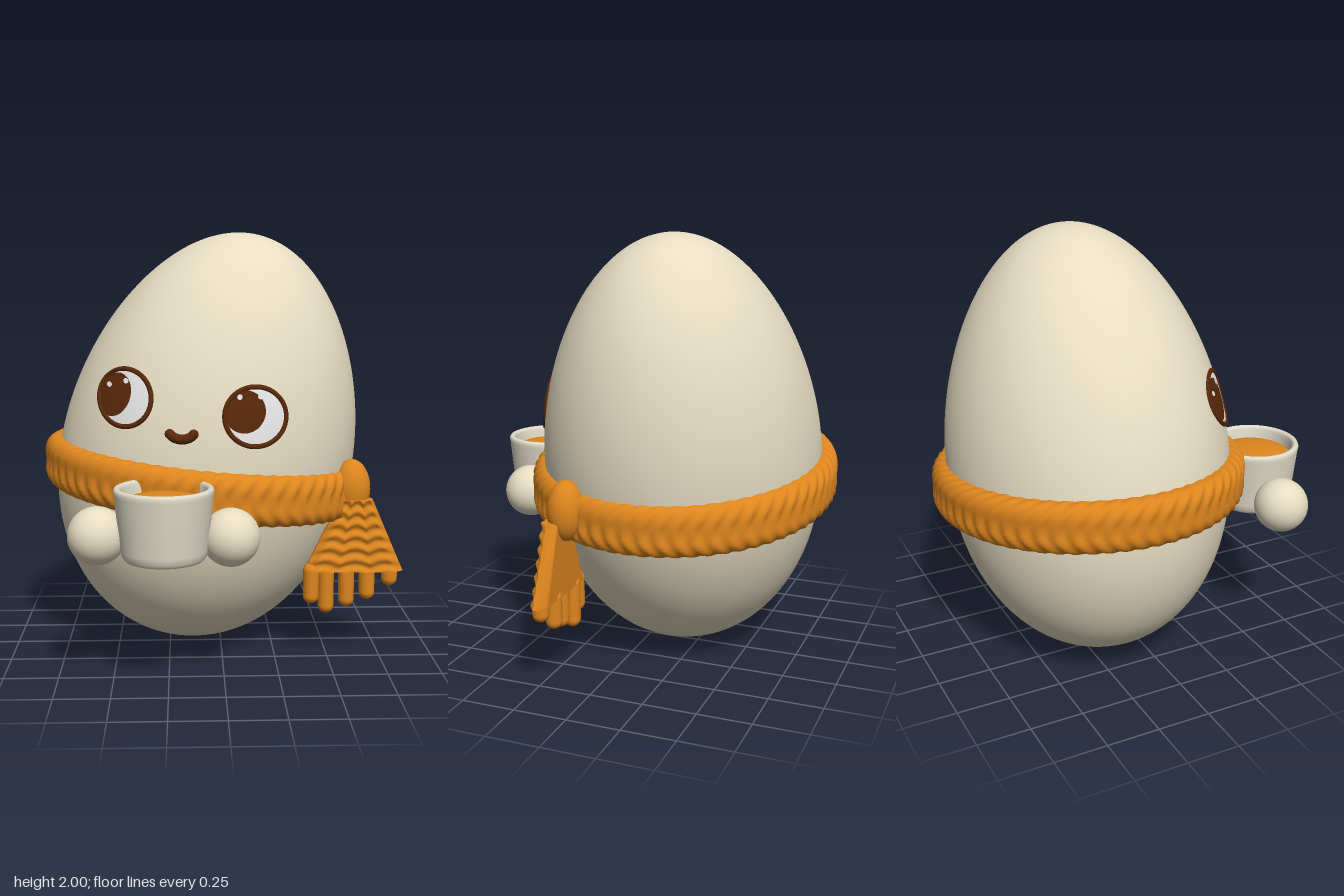
import * as THREE from 'three';

const mat = (name, color, extra = {}) => new THREE.MeshStandardMaterial({ name, color, ...extra });

// Egg rule: tilted body of revolution, narrower at the top, fitted to a box
const A = 1.014, B = 0.72, K = 0.1, TILT = 13.4 * Math.PI / 180;
const FIT = new THREE.Box3(new THREE.Vector3(-0.8, 0, -0.81), new THREE.Vector3(0.67, 2, 0.513));
const eggRadius = t => B * Math.sqrt(Math.max(0, 1 - t * t)) * (1 - K * t);

function makeEgg() {
  const profile = [];
  for (let i = 0; i <= 72; i++) {
    const t = -Math.cos(Math.PI * i / 72);
    profile.push(new THREE.Vector2(i % 72 ? eggRadius(t) : 0, A * t));
  }
  const geo = new THREE.LatheGeometry(profile, 96).rotateZ(-TILT);
  geo.computeBoundingBox();
  const raw = geo.boundingBox.clone();
  const scale = FIT.getSize(new THREE.Vector3()).divide(raw.getSize(new THREE.Vector3()));
  const shift = FIT.min.clone().sub(raw.min.clone().multiply(scale));
  geo.scale(scale.x, scale.y, scale.z).translate(shift.x, shift.y, shift.z);
  // depth of the front surface at a given x, y
  const frontZ = (x, y) => {
    const px = (x - shift.x) / scale.x, py = (y - shift.y) / scale.y;
    const lx = px * Math.cos(TILT) - py * Math.sin(TILT);
    const ly = px * Math.sin(TILT) + py * Math.cos(TILT);
    const r = eggRadius(ly / A);
    return Math.sqrt(Math.max(0, r * r - lx * lx)) * scale.z + shift.z;
  };
  return { geo, frontZ };
}

// Knitted ring: rounded band swept around an ellipse, with two rows of slanted stitches
function makeScarfRing() {
  const U = 576, V = 40, pos = [], index = [];
  const soft = (s, e) => Math.sign(s) * Math.abs(s) ** e;
  for (let i = 0; i < U; i++) {
    const u = i / U * 2 * Math.PI;
    const n = new THREE.Vector3(Math.cos(u) / 0.70, 0, Math.sin(u) / 0.65).normalize();
    const x = -0.078 + 0.70 * Math.cos(u), z = -0.152 + 0.65 * Math.sin(u);
    for (let j = 0; j < V; j++) {
      const w = (j / V * 2 - 1) * Math.PI;
      const outer = Math.max(0, Math.cos(w / 2));
      const stitch = 0.005 * Math.sin(60 * u + 6 * Math.abs(w)) * outer
        - 0.007 * Math.exp(-((w / 0.25) ** 2));
      const d = 0.081 * soft(Math.cos(w), 0.75) + stitch * Math.cos(w);
      const h = 0.119 * soft(Math.sin(w), 0.75) + stitch * 0.6 * Math.sin(w);
      const px = x + n.x * d;
      pos.push(px, 0.825 - 0.1 * px + h, z + n.z * d);
      const a = i * V + j, b = i * V + (j + 1) % V;
      const c = ((i + 1) % U) * V + j, e = ((i + 1) % U) * V + (j + 1) % V;
      index.push(a, b, c, b, e, c);
    }
  }
  const geo = new THREE.BufferGeometry();
  geo.setAttribute('position', new THREE.Float32BufferAttribute(pos, 3));
  geo.setIndex(index);
  geo.computeVertexNormals();
  return geo;
}

// Flared hanging end, thinner at its side edges, with a knitted front
function makeScarfTail() {
  const geo = new THREE.BoxGeometry(1, 1, 1, 48, 60, 1), p = geo.attributes.position;
  for (let i = 0; i < p.count; i++) {
    const s = p.getX(i) + 0.5, t = 0.5 - p.getY(i);
    const left = THREE.MathUtils.lerp(0.56, 0.39, t), right = THREE.MathUtils.lerp(0.71, 0.86, t);
    const edge = Math.min(1, 0.3 + 7 * Math.min(s, 1 - s));
    const knit = 0.006 * Math.sin(t * 12 * Math.PI + 2.2 * Math.abs(Math.sin(3 * Math.PI * s)));
    const z = p.getZ(i) > 0 ? 0.207 + (0.04 + knit) * edge : 0.207 - 0.038 * edge;
    p.setXYZ(i, left + (right - left) * s, 0.757 - 0.347 * t, z);
  }
  geo.computeVertexNormals();
  return geo;
}

export function createModel() {
  const cream = mat('eggshell cream', 0xe6ddc2);
  const china = mat('cup cream', 0xe2ddc9, { side: THREE.DoubleSide });
  const orange = mat('knit orange', 0xde861e);
  const brown = mat('dark brown', 0x58280a);
  const white = mat('eye white', 0xf4f4f4);
  const model = new THREE.Group();
  model.name = 'eggWithScarfAndCup';
  const add = (name, geo, material, parent = model) => {
    const mesh = new THREE.Mesh(geo, material);
    mesh.name = name;
    parent.add(mesh);
    return mesh;
  };
  const group = name => {
    const g = new THREE.Group();
    g.name = name;
    model.add(g);
    return g;
  };

  const { geo: eggGeo, frontZ } = makeEgg();
  add('eggBody', eggGeo, cream);

  // Face: thin patches and tubes that follow the shell
  const patch = (x, y, rx, ry, lean, lift) => {
    const geo = new THREE.RingGeometry(0, 1, 48, 10), p = geo.attributes.position;
    geo.scale(rx, ry, 1).rotateZ(lean).translate(x, y, 0);
    for (let i = 0; i < p.count; i++) p.setZ(i, frontZ(p.getX(i), p.getY(i)) + lift);
    geo.computeVertexNormals();
    return geo;
  };
  const eyes = [
    { name: 'rightEye', ball: [-0.442, 1.258, 0.12, 0.126, -0.4], pupil: [-0.49, 1.27, 0.072, 0.1, -0.4],
      glints: [[-0.515, 1.312], [-0.437, 1.333]] },
    { name: 'leftEye', ball: [0.14, 1.186, 0.138, 0.13, -0.2], pupil: [0.092, 1.21, 0.094, 0.094, 0],
      glints: [[0.07, 1.275], [0.163, 1.275]] },
  ];
  for (const { name, ball, pupil, glints } of eyes) {
    const eye = group(name), [x, y, rx, ry, lean] = ball;
    add('eyeWhite', patch(...ball, 0.004), white, eye);
    add('pupil', patch(...pupil, 0.007), brown, eye);
    for (const [gx, gy] of glints) add('glint', patch(gx, gy, 0.012, 0.012, 0, 0.01), white, eye);
    const rim = [];
    for (let i = 0; i < 40; i++) {
      const a = i / 40 * 2 * Math.PI;
      const v = new THREE.Vector2(rx * Math.cos(a), ry * Math.sin(a)).rotateAround(new THREE.Vector2(), lean);
      rim.push(new THREE.Vector3(x + v.x, y + v.y, frontZ(x + v.x, y + v.y)));
    }
    add('eyeRim', new THREE.TubeGeometry(new THREE.CatmullRomCurve3(rim, true), 96, 0.012, 8, true), brown, eye);
  }

  const mouth = group('mouth');
  const smile = [[-0.24, 1.113], [-0.222, 1.098], [-0.187, 1.09], [-0.152, 1.098], [-0.134, 1.113]]
    .map(([x, y]) => new THREE.Vector3(x, y, frontZ(x, y)));
  add('smile', new THREE.TubeGeometry(new THREE.CatmullRomCurve3(smile), 32, 0.022, 12), brown, mouth);
  for (const end of [smile[0], smile[4]])
    add('smileEnd', new THREE.SphereGeometry(0.022, 16, 12), brown, mouth).position.copy(end);

  // Scarf
  const scarf = group('scarf');
  add('scarfRing', makeScarfRing(), orange, scarf);
  const knot = add('scarfKnot', new THREE.SphereGeometry(1, 32, 24), orange, scarf);
  knot.scale.set(0.09, 0.14, 0.086);
  knot.position.set(0.615, 0.8, 0.166);
  add('scarfTail', makeScarfTail(), orange, scarf);
  [[0.424, 0.25], [0.497, 0.2], [0.592, 0.235], [0.692, 0.265], [0.797, 0.335]].forEach(([x, bottom], i) => {
    const r = 0.038, top = 0.45;
    const strand = add('fringe', new THREE.CapsuleGeometry(r, top - bottom - 2 * r, 8, 16), orange, scarf);
    strand.position.set(x, (top + bottom) / 2, i % 2 ? 0.198 : 0.21);
  });

  // Hands
  for (const [name, x, y] of [['rightHand', -0.555, 0.697], ['leftHand', 0.024, 0.686]])
    add(name, new THREE.SphereGeometry(0.128, 40, 28), cream).position.set(x, y, 0.643);

  // Cup and domed drink
  const cup = group('cup');
  cup.position.set(-0.264, -0.006, 0.668);
  const cupProfile = [[0, 0.602], [0.15, 0.602], [0.172, 0.606], [0.184, 0.622], [0.19, 0.65], [0.214, 0.89],
    [0.217, 0.906], [0.212, 0.918], [0.202, 0.922], [0.191, 0.918], [0.186, 0.906], [0.184, 0.88], [0.172, 0.78]];
  add('cupWall', new THREE.LatheGeometry(cupProfile.map(p => new THREE.Vector2(...p)), 64), china, cup);
  const drink = new THREE.SphereGeometry(0.183, 48, 12, 0, 2 * Math.PI, 0, Math.PI / 2);
  add('drink', drink.scale(1, 0.22, 1).translate(0, 0.85, 0), orange, cup);
  return model;
}
